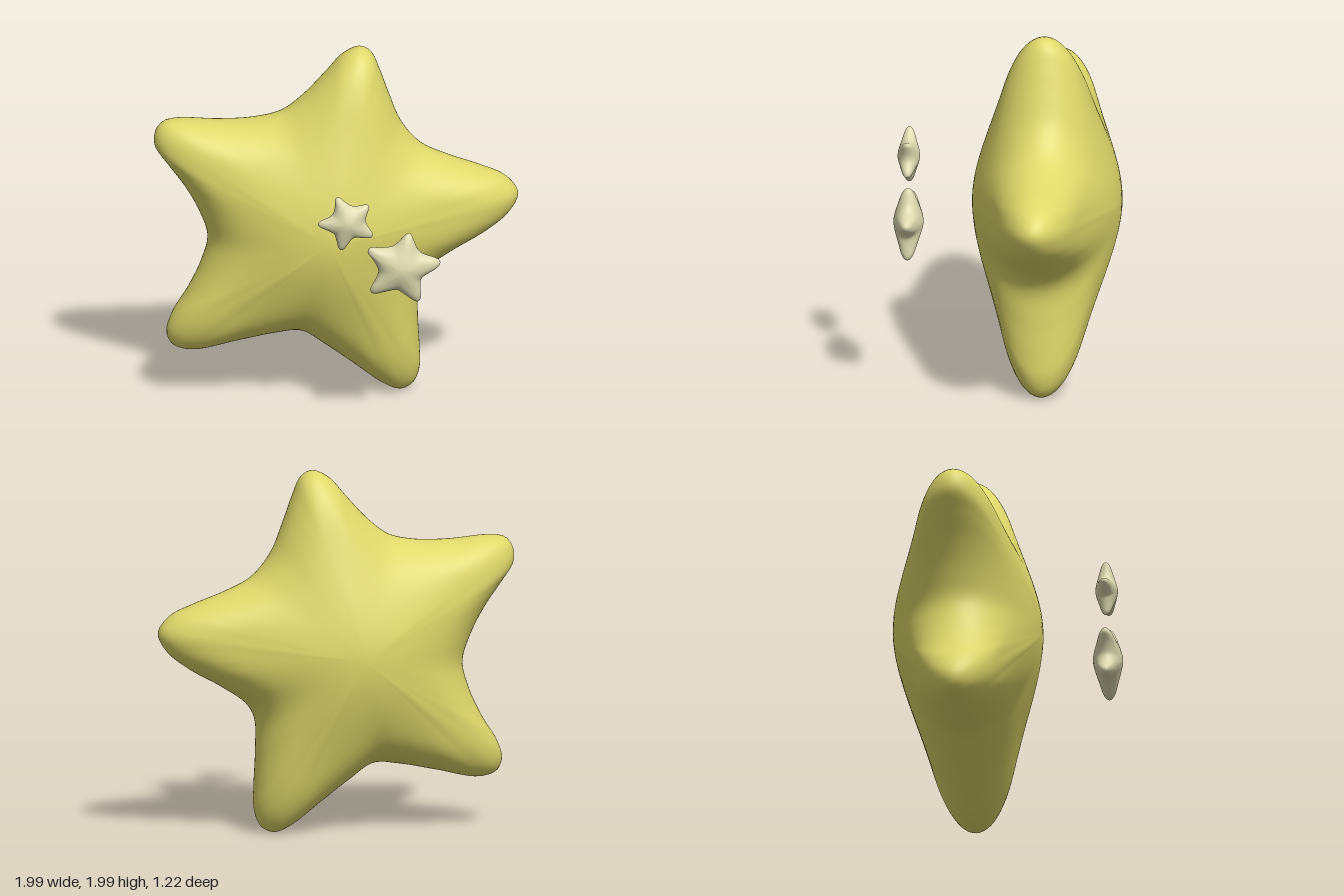
import * as THREE from 'three';

// Star outline, clockwise from the top tip, in x, y pairs
const OUTLINE = [
  0.13, 2.0, 0.19, 1.97, 0.24, 1.86, 0.29, 1.72, 0.36, 1.55, 0.47, 1.42, 0.62, 1.345, 0.8, 1.28,
  0.93, 1.22, 0.995, 1.13, 0.95, 1.03, 0.83, 0.93, 0.64, 0.82, 0.5, 0.72, 0.45, 0.63, 0.445, 0.45,
  0.455, 0.25, 0.455, 0.13, 0.42, 0.04, 0.35, 0.005, 0.26, 0.04, 0.1, 0.16, -0.06, 0.28, -0.2, 0.37,
  -0.35, 0.36, -0.55, 0.32, -0.8, 0.27, -0.9, 0.3, -0.93, 0.37, -0.9, 0.47, -0.82, 0.6, -0.74, 0.77,
  -0.705, 0.92, -0.75, 1.07, -0.83, 1.22, -0.93, 1.36, -0.995, 1.46, -0.99, 1.54, -0.95, 1.59,
  -0.88, 1.605, -0.65, 1.59, -0.45, 1.595, -0.3, 1.63, -0.18, 1.72, -0.05, 1.86, 0.04, 1.96,
];
const CENTRE = new THREE.Vector3(-0.07, 1, 0);
const DEPTH = 0.41;

// Puffed star: rings shrink from the outline to a pole at the front and at the back
function starGeometry(around, rings) {
  const points = [];
  for (let i = 0; i < OUTLINE.length; i += 2) {
    points.push(new THREE.Vector3(OUTLINE[i], OUTLINE[i + 1], 0).sub(CENTRE));
  }
  const curve = new THREE.CatmullRomCurve3(points, true);
  const edge = curve.getSpacedPoints(around).slice(0, around);

  const position = [0, 0, DEPTH];
  for (let j = 1; j < rings; j++) {
    const phi = (j / rings) * Math.PI;
    const s = Math.sin(phi);
    for (const p of edge) {
      // Arms are hollowed towards their tips; the valleys stay fuller
      const arm = THREE.MathUtils.clamp((p.length() - 0.63) / 0.43, 0, 1);
      const hollow = 1 - (0.05 + 0.2 * arm) * THREE.MathUtils.smoothstep(s, 0, 0.7);
      position.push(p.x * s, p.y * s, DEPTH * Math.cos(phi) * hollow);
    }
  }
  position.push(0, 0, -DEPTH);

  const index = [];
  const back = position.length / 3 - 1;
  const at = (j, i) => 1 + (j - 1) * around + (i % around);
  for (let i = 0; i < around; i++) {
    index.push(0, at(1, i + 1), at(1, i));
    for (let j = 1; j < rings - 1; j++) {
      index.push(at(j, i), at(j, i + 1), at(j + 1, i));
      index.push(at(j, i + 1), at(j + 1, i + 1), at(j + 1, i));
    }
    index.push(back, at(rings - 1, i), at(rings - 1, i + 1));
  }

  const geometry = new THREE.BufferGeometry();
  geometry.setAttribute('position', new THREE.Float32BufferAttribute(position, 3));
  geometry.setIndex(index);
  geometry.computeVertexNormals();
  return geometry;
}

export function createModel() {
  const group = new THREE.Group();
  const yellow = new THREE.MeshStandardMaterial({ color: 0xded86a });
  yellow.name = 'yellow';
  const cream = new THREE.MeshStandardMaterial({ color: 0xdedab0 });
  cream.name = 'cream';

  const large = starGeometry(240, 48);
  const small = starGeometry(140, 28);

  function addStar(name, geometry, material, position, scale, turn) {
    const mesh = new THREE.Mesh(geometry, material);
    mesh.name = name;
    mesh.position.set(...position);
    mesh.scale.setScalar(scale);
    mesh.rotation.z = THREE.MathUtils.degToRad(turn);
    group.add(mesh);
  }

  // Large star, with two little ones floating before it
  addStar('largeStar', large, yellow, [CENTRE.x, CENTRE.y, -0.2], 1, 0);
  addStar('mediumStar', small, cream, [0.302, 0.982, 0.53], 0.2, 0);
  addStar('smallStar', small, cream, [0.004, 1.26, 0.552], 0.149, -38);

  return group;
}
